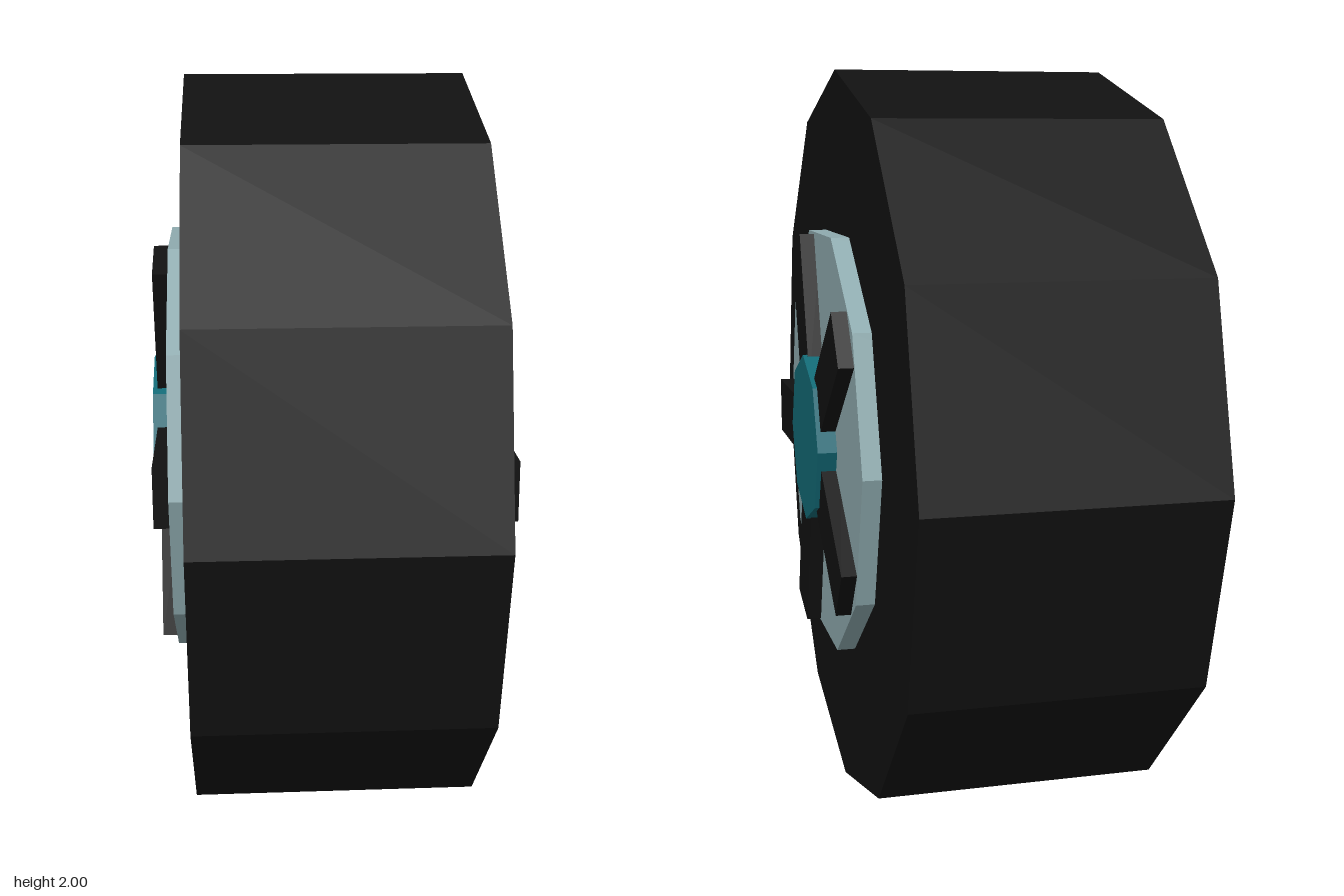
import * as THREE from 'three';

const material = (name, color) => {
  const m = new THREE.MeshStandardMaterial({ color, flatShading: true });
  m.name = name;
  return m;
};

export function createModel() {
  const rubber = material('black rubber', 0x111111);
  const steel = material('grey blue metal', 0x8eaaae);
  const teal = material('teal', 0x126975);

  const wheel = new THREE.Group();
  wheel.name = 'wheel';
  wheel.position.y = 1;

  // Faceted drum lying along the x axis
  const addDrum = (name, radius, halfWidth, sides, mat) => {
    const geometry = new THREE.CylinderGeometry(radius, radius, halfWidth * 2, sides);
    geometry.rotateZ(Math.PI / 2);
    const mesh = new THREE.Mesh(geometry, mat);
    mesh.name = name;
    wheel.add(mesh);
  };
  addDrum('tyre', 1, 0.373, 12, rubber);
  addDrum('rim', 0.592, 0.422, 10, steel);
  addDrum('hub', 0.232, 0.474, 8, teal);

  // Five raised spokes on each face, the first pointing forward
  const inner = 0.15, outer = 0.56;
  const spoke = new THREE.BoxGeometry(0.06, 0.16, outer - inner);
  spoke.translate(0, 0, (inner + outer) / 2);
  for (const side of [1, -1]) {
    for (let i = 0; i < 5; i++) {
      const mesh = new THREE.Mesh(spoke, rubber);
      mesh.name = side > 0 ? 'leftSpoke' : 'rightSpoke';
      mesh.position.x = side * 0.432;
      mesh.rotation.x = (i * Math.PI * 2) / 5;
      wheel.add(mesh);
    }
  }

  const model = new THREE.Group();
  model.name = 'spokedWheel';
  model.add(wheel);
  return model;
}
